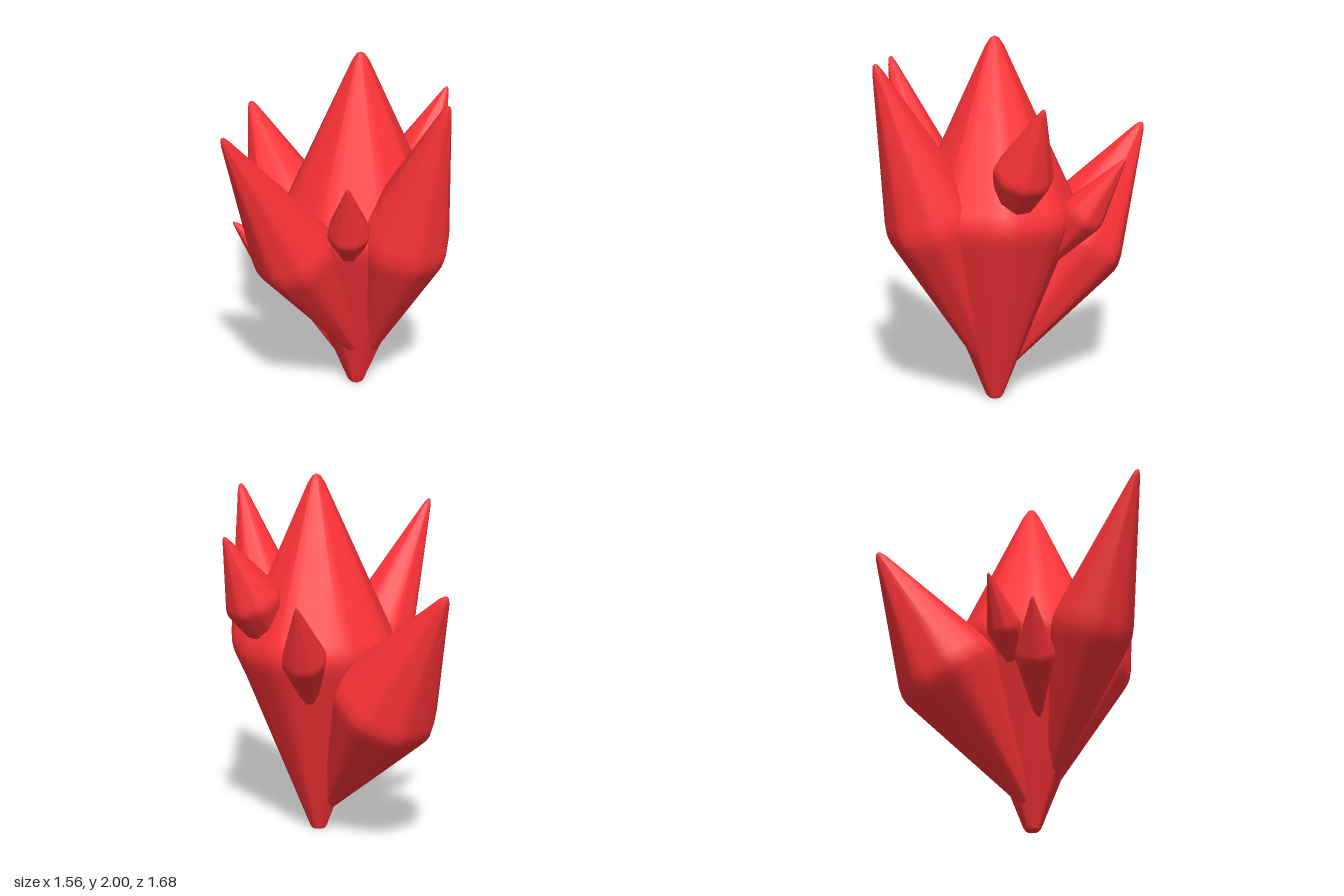
import * as THREE from 'three';
import { mergeVertices } from 'three/addons/utils/BufferGeometryUtils.js';

const UP = new THREE.Vector3(0, 1, 0);
const SIDES = 8, STEP = (2 * Math.PI) / SIDES;

// Spindle crystal: an octagonal lathe with softened corners, belt and tip.
function crystalGeometry(length, radius, belt) {
  const profile = [
    [0, 0], [0.08, 0], [0.105, 0.006],
    [0.94, belt - 0.045], [0.99, belt - 0.015], [1, belt + 0.01], [0.96, belt + 0.045],
    [0.11, 0.975], [0.05, 0.995], [0, 1],
  ].map(([r, t]) => new THREE.Vector2(r * radius, t * length));
  const geo = new THREE.LatheGeometry(profile, 32);

  // Flatten the round section into eight facets with bevelled corners
  const pos = geo.attributes.position;
  for (let i = 0; i < pos.count; i++) {
    const x = pos.getX(i), z = pos.getZ(i);
    const a = Math.atan2(x, z);
    const off = a - Math.round(a / STEP) * STEP;
    const k = Math.min(0.98 / Math.cos(off), 1.04);
    pos.setX(i, x * k);
    pos.setZ(i, z * k);
  }
  geo.deleteAttribute('uv');
  geo.deleteAttribute('normal');
  const merged = mergeVertices(geo, 1e-5);
  merged.computeVertexNormals();
  return merged;
}

export function createModel() {
  const group = new THREE.Group();
  group.name = 'crystalCluster';
  const material = new THREE.MeshStandardMaterial({ color: 0xff3338 });

  // name, base point, tip point, radius, position of the widest belt
  const crystals = [
    ['mainCrystal', [0.195, 0, 0.14], [0.195, 2, 0.14], 0.43, 0.52],
    // large side crystals
    ['frontCrystal', [0.21, 0.15, 0.18], [0.205, 1.9, 0.83], 0.242, 0.51],
    ['rightCrystal', [0.17, 0.2, 0.2], [-0.78, 1.79, 0.29], 0.215, 0.51],
    ['backCrystal', [0.165, 0.13, 0.1], [0.15, 1.45, -0.84], 0.28, 0.515],
    // small shards
    ['leftShard', [0.37, 0.92, 0.2], [0.775, 1.7, 0.185], 0.15, 0.53],
    ['backLeftShard', [0.36, 0.72, -0.02], [0.715, 1.39, -0.345], 0.115, 0.53],
    ['backRightShard', [0.04, 0.75, 0], [-0.235, 1.26, -0.345], 0.09, 0.53],
    ['sideRightShard', [-0.02, 0.55, 0.07], [-0.425, 1.07, -0.175], 0.105, 0.53],
    ['frontRightShard', [-0.01, 0.86, 0.33], [-0.23, 1.475, 0.585], 0.11, 0.48],
  ];

  for (const [name, from, to, radius, belt] of crystals) {
    const base = new THREE.Vector3(...from);
    const axis = new THREE.Vector3(...to).sub(base);
    const mesh = new THREE.Mesh(crystalGeometry(axis.length(), radius, belt), material);
    mesh.name = name;
    mesh.position.copy(base);
    mesh.quaternion.setFromUnitVectors(UP, axis.normalize());
    group.add(mesh);
  }
  return group;
}
